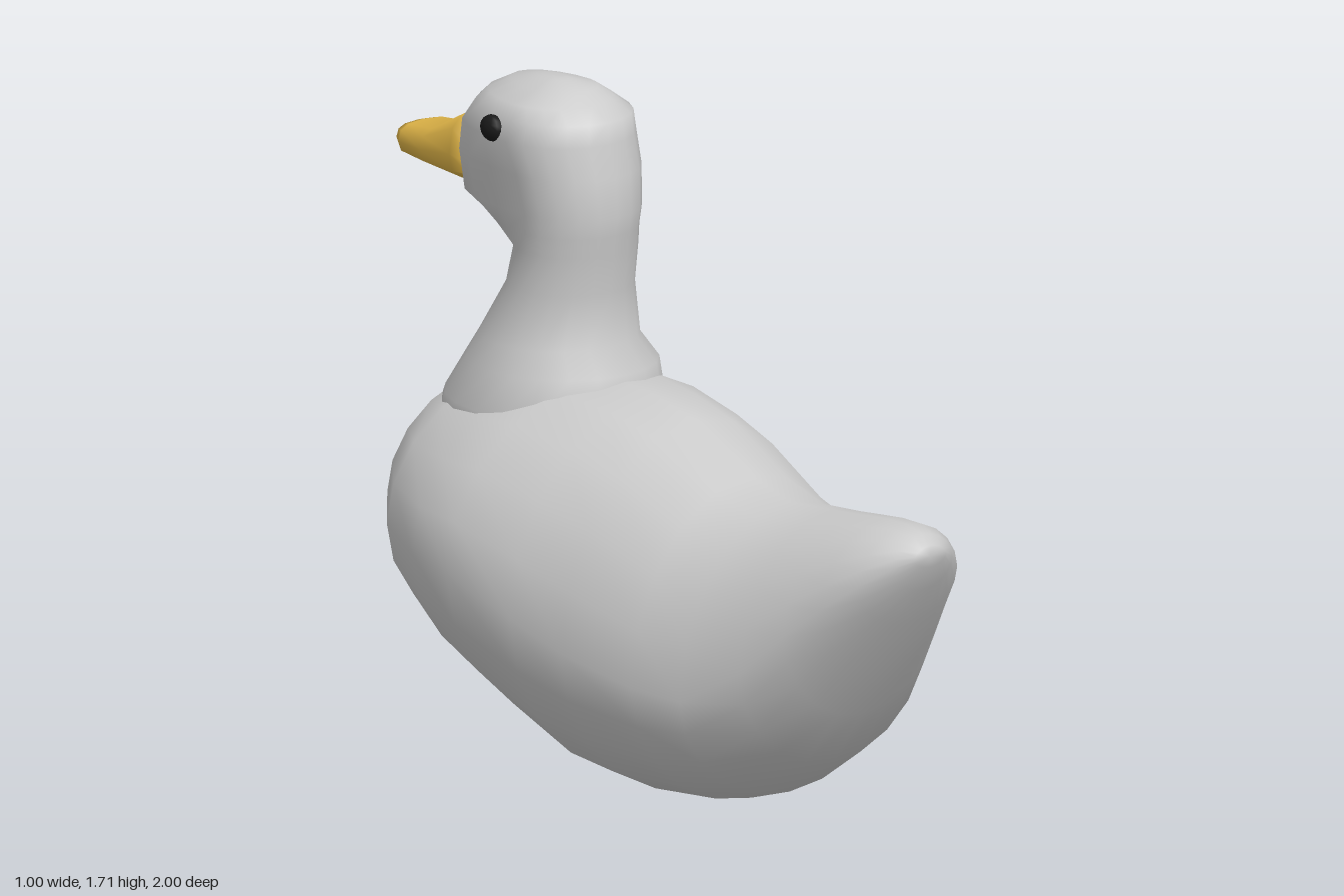
import * as THREE from 'three';

const grey = new THREE.MeshStandardMaterial({ color: 0xcccccc });
const yellow = new THREE.MeshStandardMaterial({ color: 0xe0b548 });
const black = new THREE.MeshStandardMaterial({ color: 0x1a1a1a });

// Power curve keeping the sign, for superellipse rings
const spow = (v, e) => Math.sign(v) * Math.pow(Math.abs(v), e);

// Skin a list of rings (equal point counts) and close both ends
function loft(name, rings, material) {
  const n = rings[0].length;
  const points = rings.flat();
  const index = [];
  for (let i = 0; i < rings.length - 1; i++) {
    for (let j = 0; j < n; j++) {
      const k = (j + 1) % n;
      const a = i * n + j, b = i * n + k, c = a + n, d = b + n;
      index.push(a, c, b, b, c, d);
    }
  }
  const centre = (ring) => ring.reduce((s, p) => s.add(p), new THREE.Vector3()).divideScalar(n);
  const start = points.length, end = start + 1, last = (rings.length - 1) * n;
  points.push(centre(rings[0]), centre(rings[rings.length - 1]));
  for (let j = 0; j < n; j++) {
    const k = (j + 1) % n;
    index.push(start, j, k, end, last + k, last + j);
  }
  const geometry = new THREE.BufferGeometry().setFromPoints(points);
  geometry.setIndex(index);
  geometry.computeVertexNormals();
  const mesh = new THREE.Mesh(geometry, material);
  mesh.name = name;
  return mesh;
}

// Upright ring at z: half width w, widest at height mid
function uprightRing([z, top, mid, bottom, w], sides, e) {
  return Array.from({ length: sides }, (_, j) => {
    const t = (j / sides) * Math.PI * 2;
    const s = spow(Math.sin(t), e);
    return new THREE.Vector3(w * spow(Math.cos(t), e), mid + s * (s > 0 ? top - mid : mid - bottom), z);
  });
}

// Level ring at height y, from back to front, narrowed toward the face
function levelRing([y, back, front, w, pinch], sides) {
  const c = Math.max(back - w, (back + front) / 2);
  return Array.from({ length: sides }, (_, j) => {
    const t = (j / sides) * Math.PI * 2;
    const s = Math.sin(t);
    const taper = s < 0 ? 1 + pinch * s * s : 1;
    return new THREE.Vector3(w * Math.cos(t) * taper, y, c + s * (s > 0 ? back - c : c - front));
  });
}

export function createModel() {
  const duck = new THREE.Group();
  duck.name = 'duck';

  // Body from tail to chest: z, top, widest height, bottom, half width
  const body = [
    [1.0, 0.82, 0.79, 0.765, 0.05],
    [0.97, 0.843, 0.77, 0.70, 0.095],
    [0.91, 0.855, 0.72, 0.60, 0.16],
    [0.82, 0.852, 0.65, 0.46, 0.205],
    [0.73, 0.842, 0.57, 0.33, 0.25],
    [0.62, 0.83, 0.46, 0.18, 0.30],
    [0.45, 0.815, 0.36, 0.07, 0.352],
    [0.30, 0.85, 0.37, 0.022, 0.385],
    [0.08, 0.945, 0.42, 0.0, 0.43],
    [-0.08, 0.977, 0.48, 0.01, 0.462],
    [-0.28, 0.99, 0.56, 0.10, 0.50],
    [-0.44, 0.97, 0.575, 0.18, 0.48],
    [-0.60, 0.945, 0.61, 0.27, 0.43],
    [-0.72, 0.91, 0.65, 0.40, 0.33],
    [-0.785, 0.86, 0.70, 0.56, 0.20],
    [-0.807, 0.80, 0.73, 0.66, 0.08],
  ].map((s) => uprightRing(s, 20, 1.04));
  duck.add(loft('body', body, grey));

  // Neck and head, going up: y, back z, front z, half width, face pinch
  const head = [
    [0.84, -0.20, -0.79, 0.27, 0],
    [0.90, -0.19, -0.765, 0.265, 0],
    [1.0, -0.195, -0.695, 0.235, 0],
    [1.06, -0.25, -0.655, 0.20, 0],
    [1.20, -0.25, -0.565, 0.162, 0],
    [1.30, -0.235, -0.535, 0.157, 0.05],
    [1.35, -0.23, -0.61, 0.16, 0.3],
    [1.40, -0.222, -0.74, 0.164, 0.4],
    [1.50, -0.23, -0.76, 0.175, 0.3],
    [1.58, -0.255, -0.74, 0.183, 0.2],
    [1.635, -0.26, -0.70, 0.172, 0.1],
    [1.665, -0.32, -0.67, 0.14, 0],
    [1.695, -0.35, -0.61, 0.09, 0],
    [1.71, -0.43, -0.53, 0.03, 0],
  ].map((s) => levelRing(s, 20));
  duck.add(loft('neckAndHead', head, grey));

  // Beak
  const beak = [
    [-0.69, 1.53, 1.46, 1.41, 0.105],
    [-0.75, 1.575, 1.47, 1.395, 0.108],
    [-0.88, 1.503, 1.45, 1.402, 0.095],
    [-0.975, 1.494, 1.45, 1.41, 0.086],
    [-1.0, 1.487, 1.455, 1.425, 0.072],
  ].map((s) => uprightRing(s, 12, 0.7));
  duck.add(loft('beak', beak, yellow));

  // Eyes
  for (const side of [1, -1]) {
    const eye = new THREE.Mesh(new THREE.SphereGeometry(1, 12, 8), black);
    eye.name = side > 0 ? 'leftEye' : 'rightEye';
    eye.scale.set(0.026, 0.034, 0.039);
    eye.position.set(side * 0.173, 1.602, -0.5);
    duck.add(eye);
  }
  return duck;
}
